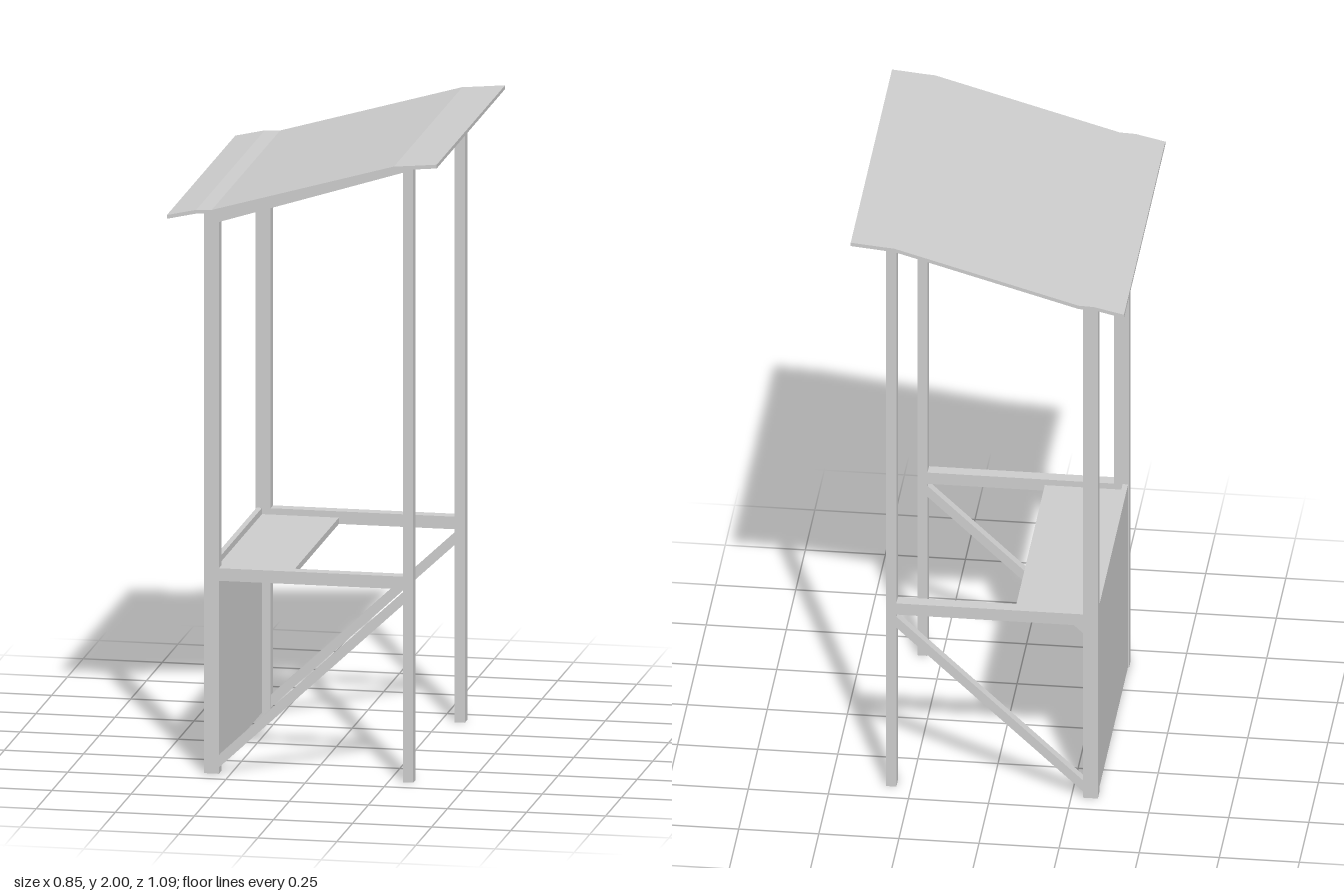
import * as THREE from 'three';

export function createModel() {
  const group = new THREE.Group();
  const material = new THREE.MeshStandardMaterial({ color: 0xcccccc, flatShading: true });

  const add = (name, geometry) => {
    const mesh = new THREE.Mesh(geometry, material);
    mesh.name = name;
    group.add(mesh);
  };

  // Box given by its limits on each axis
  const box = (name, x0, x1, y0, y1, z0, z1) => {
    const g = new THREE.BoxGeometry(x1 - x0, y1 - y0, z1 - z0);
    g.translate((x0 + x1) / 2, (y0 + y1) / 2, (z0 + z1) / 2);
    add(name, g);
  };

  // Side profile in x and y, extruded from z0 to z1
  const profile = (name, points, z0, z1) => {
    const shape = new THREE.Shape(points.map(([x, y]) => new THREE.Vector2(x, y)));
    const g = new THREE.ExtrudeGeometry(shape, { depth: z1 - z0, bevelEnabled: false });
    g.translate(0, 0, z0);
    add(name, g);
  };

  const low = [-0.333, -0.286]; // x limits of the low posts
  const tall = [0.296, 0.328]; // x limits of the tall posts
  const inner = 0.39, outer = 0.43; // z limits of the side frames

  // Two mirrored side frames
  for (const side of [-1, 1]) {
    const z0 = side > 0 ? inner : -outer;
    const z1 = side > 0 ? outer : -inner;
    profile('lowPost', [[low[0], 0], [low[1], 0], [low[1], 1.812], [low[0], 1.81]], z0, z1);
    profile('tallPost', [[tall[0], 0], [tall[1], 0], [tall[1], 1.98], [tall[0], 1.978]], z0, z1);
    box('sideRail', low[1], tall[0], 0.615, 0.655, z0, z1);
    profile('brace', [[low[1], 0.02], [tall[0], 0.565], [tall[0], 0.604], [low[1], 0.059]],
      z0 + 0.005, z1 - 0.005);
    profile('rafter', [[low[1], 1.758], [tall[0], 1.942], [tall[0], 1.978], [low[1], 1.808]], z0, z1);
  }

  // Beams joining the two frames under the roof
  box('lowBeam', ...low, 1.76, 1.808, -inner, inner);
  box('tallBeam', ...tall, 1.945, 1.978, -inner, inner);

  // Counter panel and shelf
  box('panel', low[0] + 0.003, low[0] + 0.02, 0.003, 0.655, -inner, inner);
  box('shelf', low[0] + 0.02, -0.07, 0.615, 0.635, -inner, inner);

  // Thin bent roof sheet
  const top = [[-0.428, 1.8], [-0.335, 1.821], [-0.286, 1.823], [0.29, 1.988], [0.33, 1.991], [0.425, 2]];
  const under = top.map(([x, y]) => [x, y - 0.012]).reverse();
  profile('roof', [...top, ...under], -0.543, 0.543);

  return group;
}
